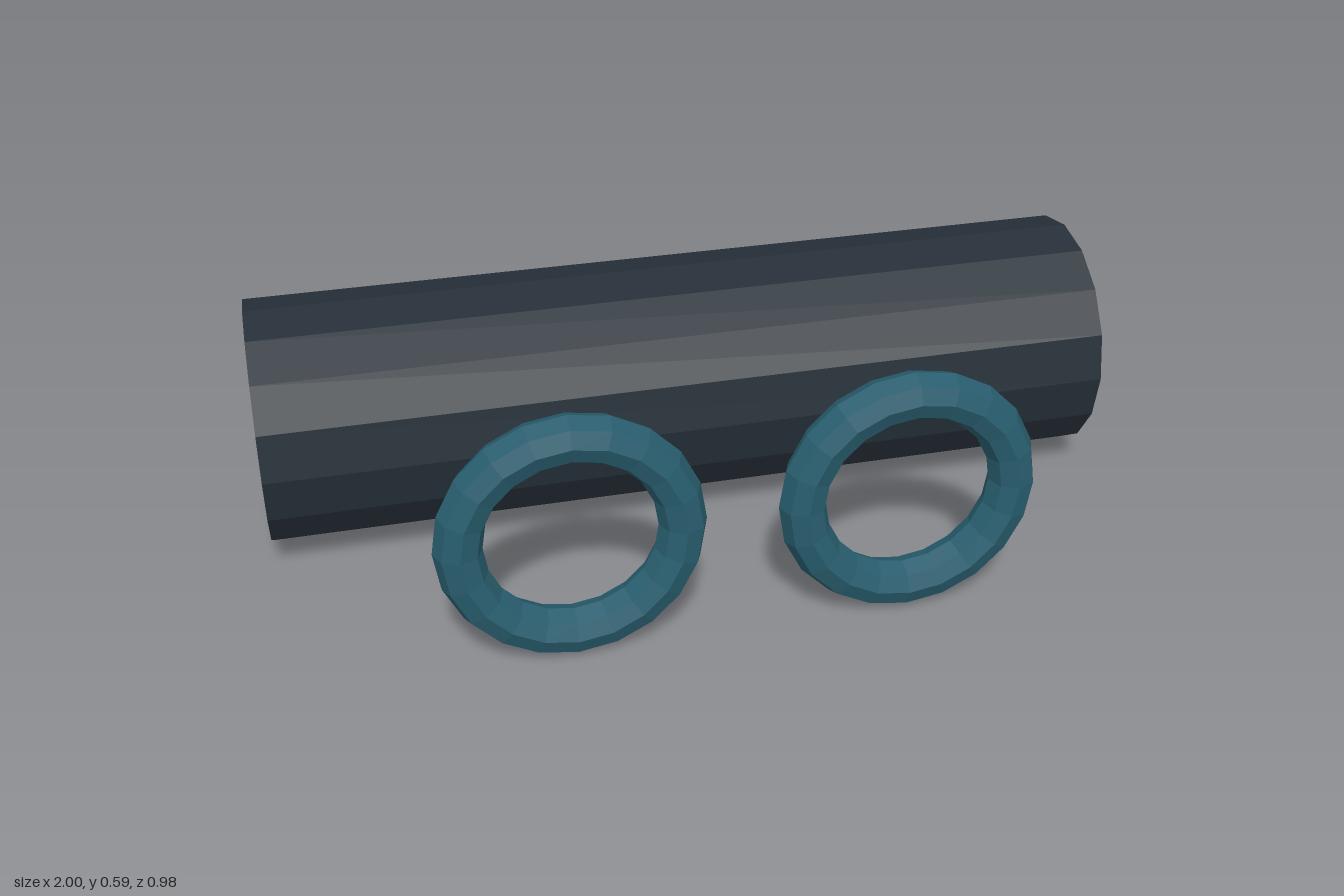
import * as THREE from 'three';

export function createModel() {
  const model = new THREE.Group();
  const dark = new THREE.MeshStandardMaterial({ color: 0x263038, flatShading: true });
  const teal = new THREE.MeshStandardMaterial({ color: 0x285d6e, flatShading: true });

  // Long 16-sided bar lying along x at the back
  const bar = new THREE.Mesh(new THREE.CylinderGeometry(0.286, 0.286, 2, 16), dark);
  bar.name = 'bar';
  bar.rotation.z = Math.PI / 2;
  bar.position.set(0, 0.296, -0.205);
  model.add(bar);

  // Pair of upright rings floating in front of the bar
  const ringGeometry = new THREE.TorusGeometry(0.241, 0.053, 8, 20);
  for (const [name, side] of [['leftRing', 1], ['rightRing', -1]]) {
    const ring = new THREE.Mesh(ringGeometry, teal);
    ring.name = name;
    ring.position.set(side * 0.374, 0.295, 0.439);
    model.add(ring);
  }
  return model;
}
